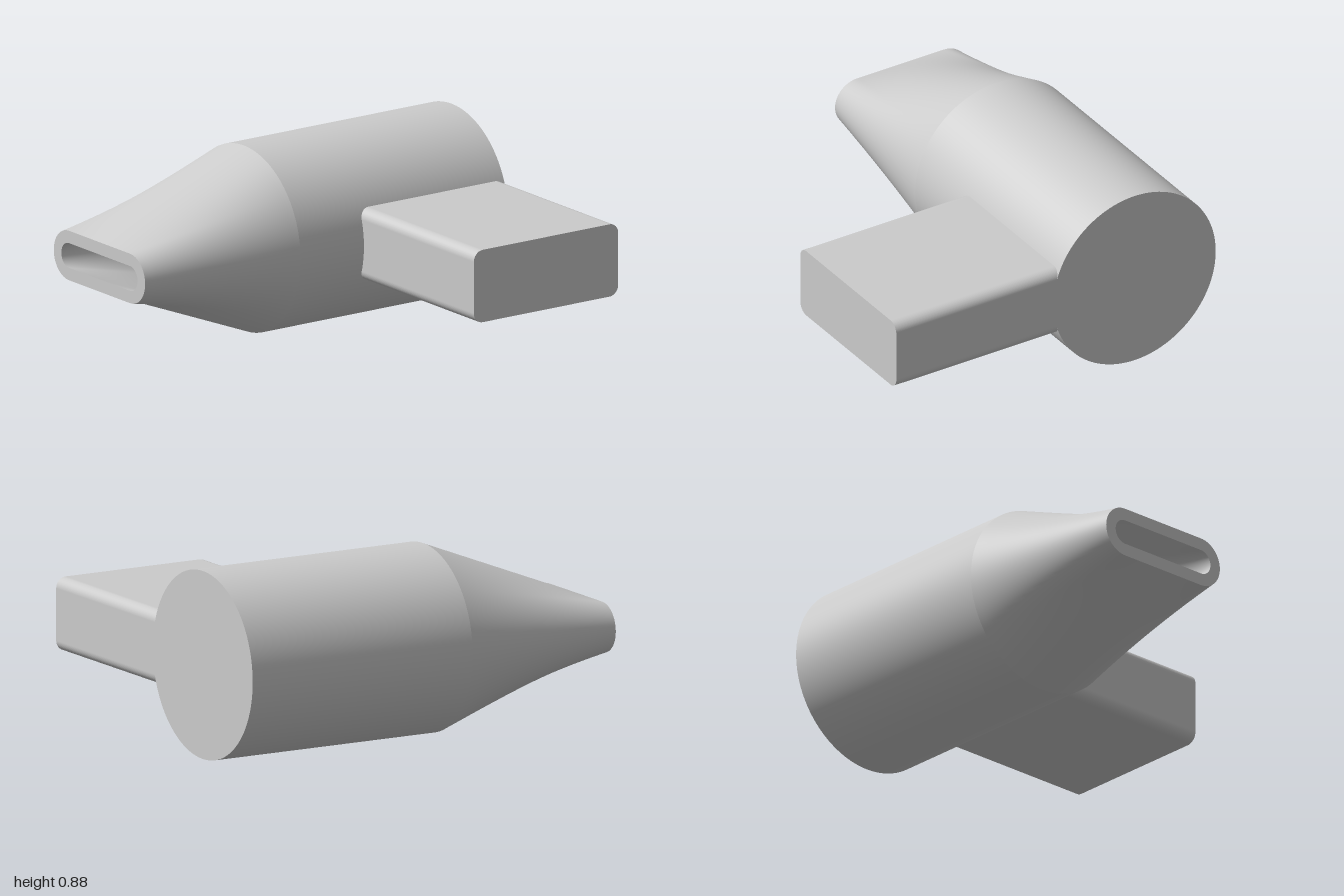
import * as THREE from 'three';

const SEGMENTS = 144;
const CX = -0.43, CY = 0.442;       // body axis
const STRAIGHT = 0.237;             // half length of the nozzle's straight sides
const CORNER = Math.PI * 0.22;      // body angle at which the rounded ends begin

// Rings run anticlockwise as seen from the front
function ring(z, pointAt) {
  return Array.from({ length: SEGMENTS }, (_, i) => {
    const [x, y] = pointAt((i / SEGMENTS) * Math.PI * 2);
    return [CX + x, CY + y, z];
  });
}

const circle = (r, z) => ring(z, a => [r * Math.cos(a), r * Math.sin(a)]);

// Stadium outline whose points pair with those of the circle
const stadium = (r, z) => ring(z, a => {
  const sx = Math.cos(a) < 0 ? -1 : 1;
  const sy = Math.sin(a) < 0 ? -1 : 1;
  const q = Math.asin(Math.min(1, Math.abs(Math.sin(a))));
  if (q < CORNER) {
    const t = (q / CORNER) * Math.PI / 2;
    return [sx * (STRAIGHT + r * Math.cos(t)), sy * r * Math.sin(t)];
  }
  return [sx * STRAIGHT * (Math.PI / 2 - q) / (Math.PI / 2 - CORNER), sy * r];
});

// Smooth surface between two rings
function band(name, from, to, material, steps = 1) {
  const pos = [], index = [];
  for (let j = 0; j <= steps; j++) {
    from.forEach((p, i) => p.forEach((v, k) => pos.push(v + (to[i][k] - v) * j / steps)));
  }
  for (let j = 0; j < steps; j++) {
    for (let i = 0; i < SEGMENTS; i++) {
      const n = (i + 1) % SEGMENTS;
      const a = j * SEGMENTS + i, b = j * SEGMENTS + n;
      index.push(a, b, b + SEGMENTS, a, b + SEGMENTS, a + SEGMENTS);
    }
  }
  const geo = new THREE.BufferGeometry();
  geo.setAttribute('position', new THREE.Float32BufferAttribute(pos, 3));
  geo.setIndex(index);
  geo.computeVertexNormals();
  const mesh = new THREE.Mesh(geo, material);
  mesh.name = name;
  return mesh;
}

// Block with four rounded edges, running along x
function sideBlock(material) {
  const w = 0.41, h = 0.1725, r = 0.05;
  const s = new THREE.Shape();
  s.absarc(w - r, h - r, r, 0, Math.PI / 2);
  s.absarc(-w + r, h - r, r, Math.PI / 2, Math.PI);
  s.absarc(-w + r, -h + r, r, Math.PI, Math.PI * 1.5);
  s.absarc(w - r, -h + r, r, Math.PI * 1.5, Math.PI * 2);
  s.closePath();
  const geo = new THREE.ExtrudeGeometry(s, { depth: 0.935, bevelEnabled: false, curveSegments: 10 });
  geo.rotateY(Math.PI / 2);
  const mesh = new THREE.Mesh(geo, material);
  mesh.position.set(-0.07, 0.4425, -0.59);
  mesh.name = 'sideBlock';
  return mesh;
}

export function createModel() {
  const group = new THREE.Group();
  group.name = 'nozzle';
  const material = new THREE.MeshStandardMaterial({ color: 0xcccccc });

  const back = circle(0.441, -1);
  const shoulder = circle(0.441, 0.18);
  const mouth = stadium(0.118, 1);
  const slot = stadium(0.059, 1);
  const chamber = circle(0.382, 0.18);

  group.add(
    band('backCap', circle(0, -1), back, material),
    band('body', back, shoulder, material),
    band('taperedNozzle', shoulder, mouth, material, 24),
    band('mouthRim', mouth, slot, material),
    // Hollow inside the nozzle, closed by a flat wall
    band('slotInterior', slot, chamber, material, 24),
    band('slotFloor', chamber, circle(0, 0.18), material),
    sideBlock(material)
  );
  return group;
}
